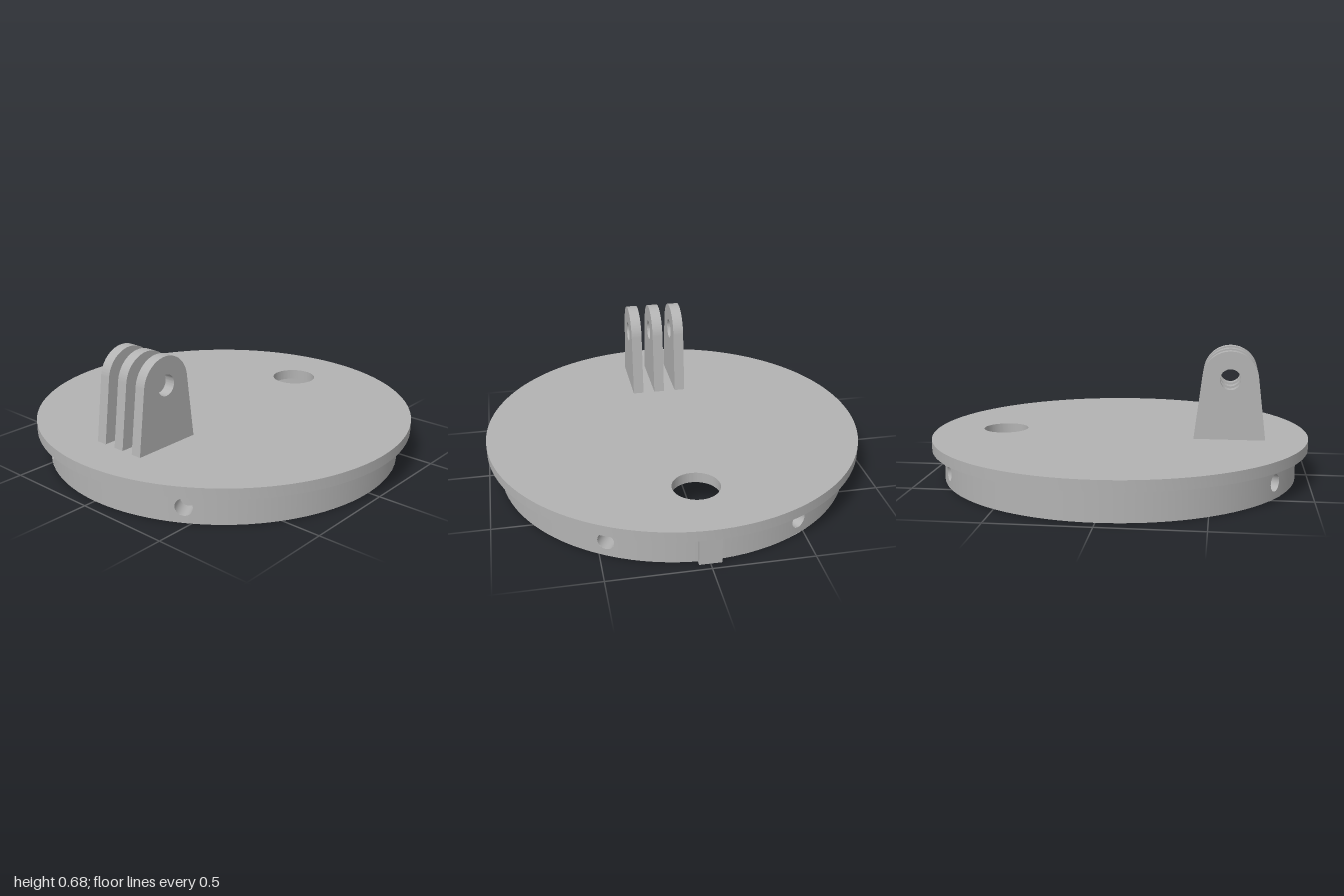
import * as THREE from 'three';
import { toCreasedNormals } from 'three/addons/utils/BufferGeometryUtils.js';

const R = 0.937, INNER = 0.8, RING_H = 0.16, TOP = 0.215;
const HOLE_R = 0.043, HOLE_Y = 0.08, HOLE_DEPTH = 0.1;
const PANEL = 0.07; // half angle of the wall panel around each screw hole

export function createModel() {
  const model = new THREE.Group();
  const grey = new THREE.MeshStandardMaterial({ color: 0xb3b3b3 });
  grey.name = 'grey plastic';
  grey.side = THREE.DoubleSide;

  const add = (name, geometry, parent = model) => {
    const mesh = new THREE.Mesh(geometry, grey);
    mesh.name = name;
    parent.add(mesh);
    return mesh;
  };
  const circle = (x, y, r) => new THREE.Path().absarc(x, y, r, 0, Math.PI * 2, true);

  // Cover disc with the round opening near the back
  const disc = new THREE.Shape().absarc(0, 0, 1, 0, Math.PI * 2, false);
  disc.holes.push(circle(0, 0.63, 0.12));
  const discGeo = new THREE.ExtrudeGeometry(disc, { depth: TOP - RING_H, bevelEnabled: false, curveSegments: 96 });
  discGeo.rotateX(-Math.PI / 2).translate(0, RING_H, 0);
  add('coverDisc', toCreasedNormals(discGeo, 0.5));

  // Inner wall and underside of the ring
  const profile = [[INNER, RING_H], [INNER, 0], [R, 0]].map(([x, y]) => new THREE.Vector2(x, y));
  add('ringInside', toCreasedNormals(new THREE.LatheGeometry(profile, 96), 0.5));

  // Outer wall: plain arcs between four panels with blind screw holes
  const angles = [30, 150, 210, 330].map(a => THREE.MathUtils.degToRad(a));
  angles.forEach((angle, i) => {
    const next = angles[(i + 1) % 4] + (i === 3 ? Math.PI * 2 : 0);
    const span = next - angle - 2 * PANEL;
    const arc = new THREE.CylinderGeometry(R, R, RING_H, Math.ceil(span * 16), 1, true, angle + PANEL, span);
    add('ringWall', arc.translate(0, RING_H / 2, 0));

    // Flat panel with a hole, bent round the ring
    const w = PANEL * R;
    const shape = new THREE.Shape([[-w, 0], [w, 0], [w, RING_H], [-w, RING_H]].map(p => new THREE.Vector2(...p)));
    shape.holes.push(circle(0, HOLE_Y, HOLE_R));
    const panel = new THREE.ShapeGeometry(shape, 24);
    const pos = panel.attributes.position, nor = panel.attributes.normal;
    for (let k = 0; k < pos.count; k++) {
      const t = angle + pos.getX(k) / R;
      pos.setXYZ(k, R * Math.sin(t), pos.getY(k), R * Math.cos(t));
      nor.setXYZ(k, Math.sin(t), 0, Math.cos(t));
    }
    add('screwHolePanel', panel);

    // Hole lining and floor
    const hole = new THREE.Group();
    hole.name = 'screwHole';
    hole.rotation.y = angle;
    const lining = new THREE.CylinderGeometry(HOLE_R, HOLE_R, HOLE_DEPTH, 32, 1, true);
    add('holeLining', lining.rotateX(Math.PI / 2).translate(0, HOLE_Y, R - 0.001 - HOLE_DEPTH / 2), hole);
    add('holeFloor', new THREE.CircleGeometry(HOLE_R, 32).translate(0, HOLE_Y, R - HOLE_DEPTH), hole);
    model.add(hole);
  });

  // Locating key on the back of the ring
  add('locatingKey', new THREE.BoxGeometry(0.11, RING_H, 0.05)).position.set(0, RING_H / 2, -0.938);

  // Three tapered mounting lugs with a pin hole
  const cz = 0.588, cy = 0.53, r = 0.145, tilt = 0.122;
  const lug = new THREE.Shape();
  lug.moveTo(cz - 0.185, TOP);
  lug.lineTo(cz + 0.185, TOP);
  lug.absarc(cz, cy, r, tilt, Math.PI - tilt, false);
  lug.closePath();
  lug.holes.push(circle(cz, cy, 0.054));
  const thickness = 0.057;
  const raw = new THREE.ExtrudeGeometry(lug, { depth: thickness, bevelEnabled: false, curveSegments: 32 });
  const lugGeo = toCreasedNormals(raw.translate(0, 0, -thickness / 2).rotateY(-Math.PI / 2), 0.5);
  for (const x of [-0.121, 0, 0.121]) add('mountingLug', lugGeo).position.x = x;

  return model;
}
